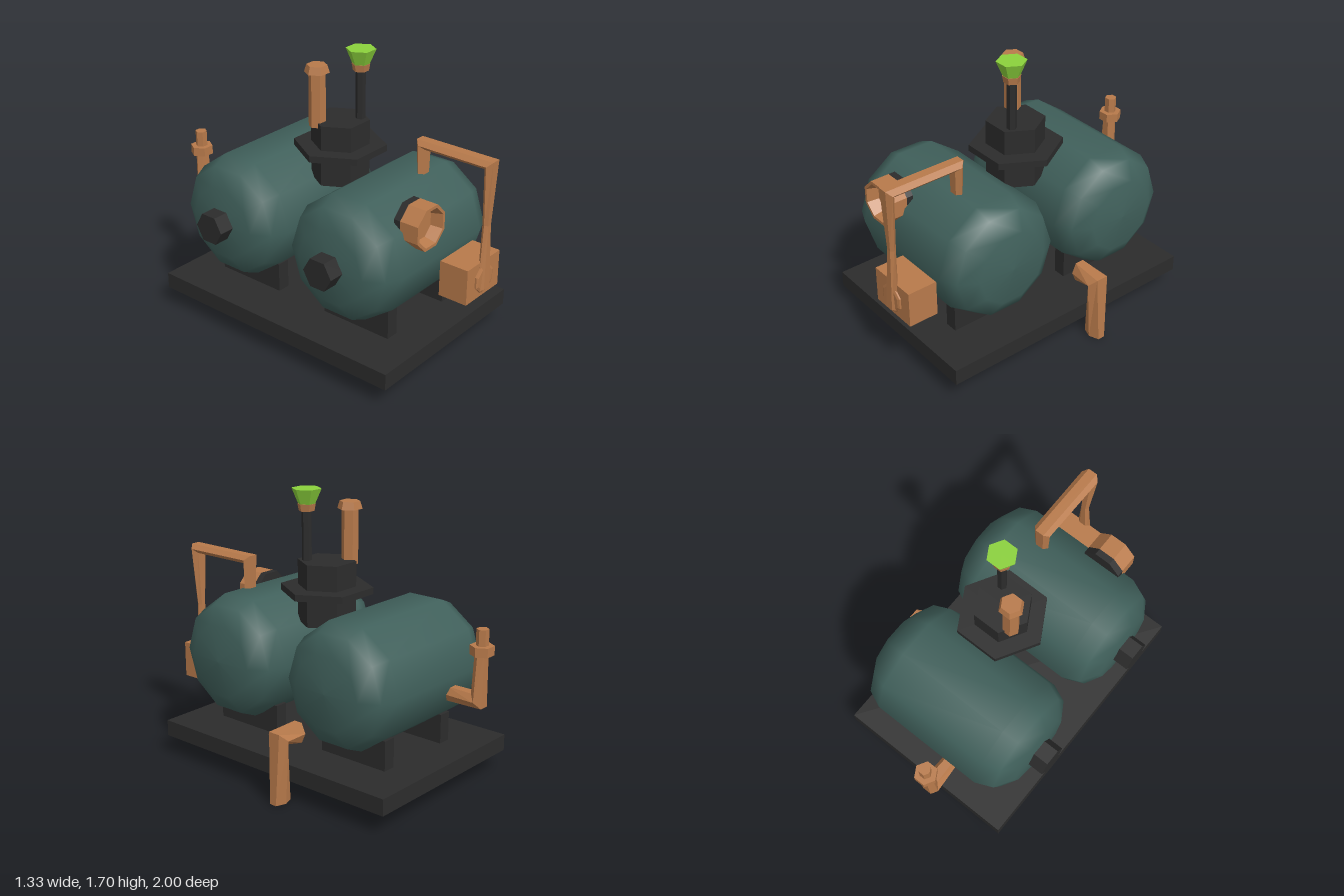
import * as THREE from 'three';

const mat = (name, color) => {
  const m = new THREE.MeshStandardMaterial({ color, flatShading: name !== 'tankTeal' });
  m.name = name;
  return m;
};

export function createModel() {
  const root = new THREE.Group();
  root.name = 'twinTankBoiler';
  const teal = mat('tankTeal', 0x40605b);
  const copper = mat('copper', 0xb87a4b);
  const iron = mat('darkIron', 0x2c2c2c);
  const green = mat('limeGreen', 0x8bd13c);

  const add = (name, geo, material, x = 0, y = 0, z = 0) => {
    const mesh = new THREE.Mesh(geo, material);
    mesh.name = name;
    mesh.position.set(x, y, z);
    root.add(mesh);
    return mesh;
  };
  const box = (name, m, x0, x1, y0, y1, z0, z1) =>
    add(name, new THREE.BoxGeometry(x1 - x0, y1 - y0, z1 - z0), m, (x0 + x1) / 2, (y0 + y1) / 2, (z0 + z1) / 2);
  // Upright hexagonal prism with corners on the x axis
  const hex = (name, m, x, z, y0, y1, rBottom, rTop = rBottom) =>
    add(name, new THREE.CylinderGeometry(rTop, rBottom, y1 - y0, 6, 1, false, Math.PI / 6), m, x, (y0 + y1) / 2, z);

  // Pipe through hexagonal sections: centre c, half axes u and v (u x v points along the path)
  const pipe = (name, sections) => {
    const n = 6, pos = [];
    const rings = sections.map(({ c, u, v }) => Array.from({ length: n }, (_, i) => {
      const a = (i / n) * Math.PI * 2;
      return c.map((k, j) => k + u[j] * Math.cos(a) + v[j] * Math.sin(a));
    }));
    const last = rings.length - 1;
    for (let i = 0; i < n; i++) {
      const k = (i + 1) % n;
      for (let s = 0; s < last; s++) {
        const a = rings[s], b = rings[s + 1];
        pos.push(...a[i], ...a[k], ...b[k], ...a[i], ...b[k], ...b[i]);
      }
      pos.push(...sections[0].c, ...rings[0][k], ...rings[0][i]);
      pos.push(...sections[last].c, ...rings[last][i], ...rings[last][k]);
    }
    const g = new THREE.BufferGeometry();
    g.setAttribute('position', new THREE.Float32BufferAttribute(pos, 3));
    g.computeVertexNormals();
    add(name, g, copper);
  };

  box('basePlate', iron, -0.615, 0.555, 0.12, 0.22, -0.84, 0.862);

  // Two ten-sided tanks with domed ends, each with feet and an end plug
  const R = 0.378, half = 0.365, cap = 0.185;
  const dome = [[1, 0], [0.92, 0.59], [0.56, 0.88], [0, 1]];
  const profile = [
    ...dome.map(([d, r]) => new THREE.Vector2(r * R, -half - d * cap)),
    ...dome.slice().reverse().map(([d, r]) => new THREE.Vector2(r * R, half + d * cap)),
  ];
  for (const z of [0.425, -0.397]) {
    const tank = new THREE.LatheGeometry(profile, 10);
    tank.rotateZ(-Math.PI / 2);
    add('tank', tank, teal, -0.025, 0.69, z);
    for (const x of [-0.29, 0.235]) box('tankFoot', iron, x - 0.04, x + 0.04, 0.2, 0.4, z - 0.232, z + 0.232);
    const plug = new THREE.CylinderGeometry(0.098, 0.098, 0.13, 6);
    plug.rotateZ(Math.PI / 2);
    add('endPlug', plug, iron, -0.6, 0.695, z);
  }

  // Central hub, chimney and funnel
  hex('hub', iron, 0.027, 0.012, 0.91, 1.28, 0.173);
  hex('hubFlange', iron, 0.03, 0.01, 1.09, 1.13, 0.275);
  hex('chimney', copper, -0.09, -0.062, 1.25, 1.58, 0.05);
  hex('chimneyCap', copper, -0.09, -0.062, 1.575, 1.62, 0.074, 0.06);
  hex('funnelRod', iron, 0.102, 0.1, 1.25, 1.575, 0.029);
  hex('funnelCollar', copper, 0.102, 0.1, 1.57, 1.612, 0.046, 0.054);
  hex('funnel', green, 0.102, 0.1, 1.61, 1.7, 0.05, 0.088);

  // Octagonal porthole with a hollow face and a dark backing
  const octLathe = (pts) => {
    const g = new THREE.LatheGeometry(pts.map(([r, y]) => new THREE.Vector2(r, y)), 8, Math.PI / 8);
    g.rotateX(Math.PI / 2);
    return g;
  };
  add('porthole', octLathe([[0, 0], [0.134, 0], [0.134, 0.118], [0.115, 0.118], [0.095, 0.05], [0, 0.05]]),
    copper, -0.193, 0.925, 0.712);
  add('portholeBacking', octLathe([[0, 0], [0.134, 0], [0.134, 0.042], [0, 0.042]]), iron, -0.193, 0.925, 0.67);

  // Pump box with an octagonal boss
  box('pumpBox', copper, -0.03, 0.29, 0.42, 0.64, 0.785, 0.97);
  add('pumpBoss', octLathe([[0, 0], [0.088, 0], [0.088, 0.012], [0.072, 0.018], [0, 0.018]]), copper, 0.13, 0.53, 0.968);

  // Arched pipe from the pump up and over to the front tank
  pipe('archPipe', [
    { c: [0.13, 0.47, 0.975], u: [0.057, 0, 0], v: [0, 0, -0.027] },
    { c: [0.143, 0.86, 0.965], u: [0.027, 0, 0], v: [0, 0, -0.022] },
    { c: [0.145, 1.225, 0.973], u: [0.058, 0, 0], v: [0, -0.03, -0.031] },
    { c: [0.145, 1.225, 0.522], u: [0.055, 0, 0], v: [0, -0.03, 0.033] },
    { c: [0.145, 0.97, 0.525], u: [0.045, 0, 0], v: [0, 0, 0.024] },
  ]);

  // Drain pipe at the left side
  pipe('drainPipe', [
    { c: [0.445, 0.38, -0.135], u: [0, 0, 0.055], v: [0, -0.07, 0] },
    { c: [0.607, 0.392, -0.135], u: [0, 0, 0.076], v: [-0.042, -0.045, 0] },
    { c: [0.6, 0, -0.135], u: [0, 0, 0.045], v: [-0.07, 0, 0] },
  ]);

  // Rear outlet with collar and stub
  pipe('rearPipe', [
    { c: [-0.18, 0.587, -0.73], u: [0.045, 0, 0], v: [0, -0.05, 0] },
    { c: [-0.18, 0.59, -0.932], u: [0.06, 0, 0], v: [0, -0.045, -0.04] },
    { c: [-0.18, 0.88, -0.938], u: [0.042, 0, 0], v: [0, 0, -0.037] },
  ]);
  hex('rearCollar', copper, -0.18, -0.94, 0.86, 0.915, 0.069);
  hex('rearStub', copper, -0.18, -0.94, 0.9, 1.01, 0.036);

  return root;
}
